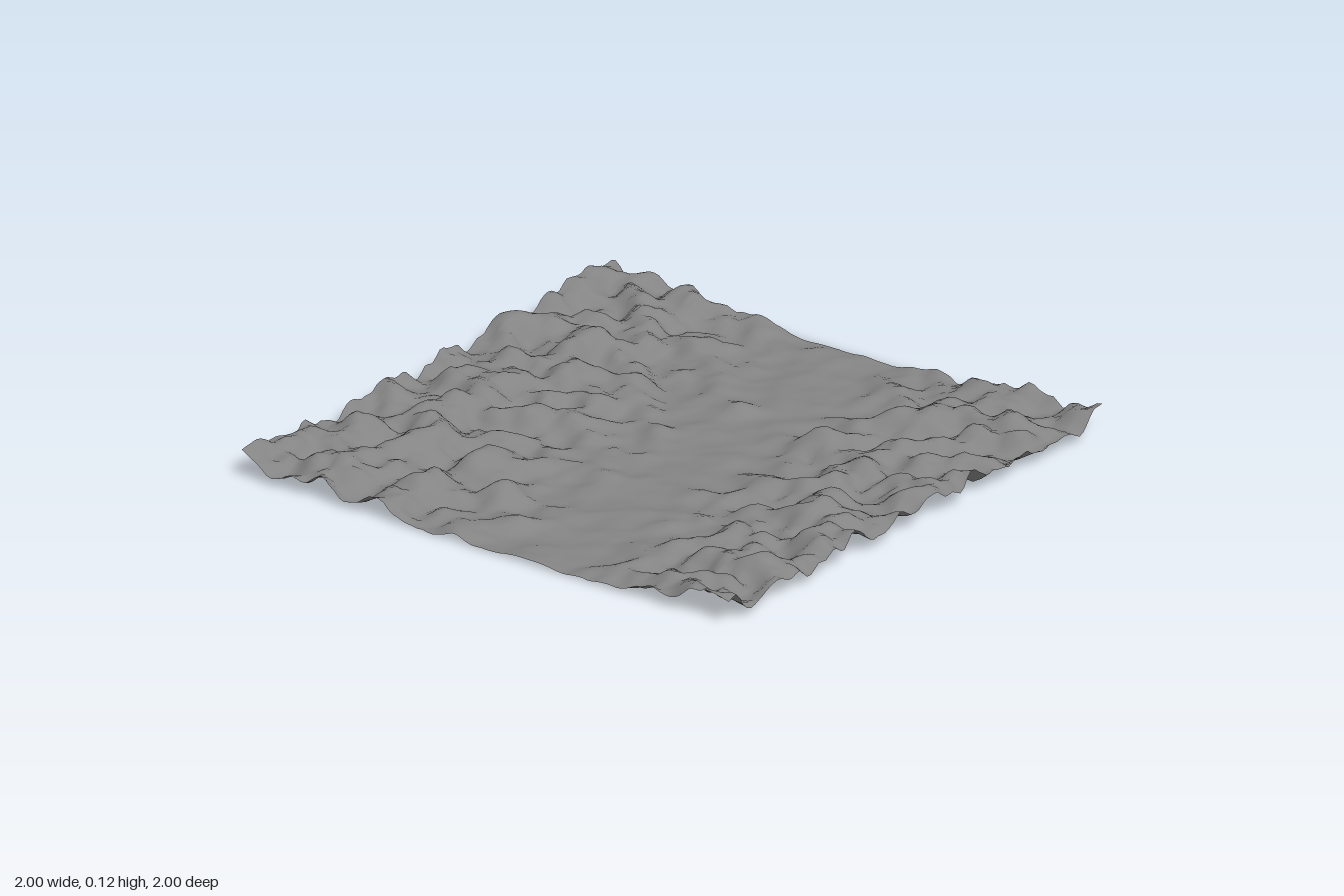
import * as THREE from 'three';

const { lerp, smoothstep } = THREE.MathUtils;

// Lone hummocks in and beside the valley: x, z, height, radius
const HUMMOCKS = [
  [-0.19, 0.62, 0.035, 0.06], [-0.2, -0.5, 0.03, 0.06], [-0.02, -0.4, 0.025, 0.05],
  [-0.02, 0.78, 0.03, 0.05], [0.36, -0.33, 0.05, 0.06], [0.3, -0.82, 0.02, 0.05],
  [-0.4, -0.25, 0.025, 0.08], [-0.2, 0.15, 0.025, 0.07], [0.44, -0.62, 0.03, 0.06],
  [-0.05, 0.3, 0.015, 0.06], [-0.1, -0.12, 0.02, 0.06],
];

// Repeatable lattice value in [-1, 1]
function lattice(i, j, seed) {
  let h = Math.imul(i, 374761393) + Math.imul(j, 668265263) + Math.imul(seed, 974634777);
  h = Math.imul(h ^ (h >>> 13), 1274126177);
  return ((h ^ (h >>> 16)) >>> 0) / 2147483648 - 1;
}

// Smooth gradient noise, about [-1, 1]
function noise(x, z, seed) {
  const i = Math.floor(x), j = Math.floor(z);
  const u = x - i, v = z - j;
  const fade = (t) => t * t * t * (t * (t * 6 - 15) + 10);
  const corner = (a, b) => {
    const angle = lattice(i + a, j + b, seed) * Math.PI;
    return Math.cos(angle) * (u - a) + Math.sin(angle) * (v - b);
  };
  const near = lerp(corner(0, 0), corner(1, 0), fade(u));
  const far = lerp(corner(0, 1), corner(1, 1), fade(u));
  return 1.5 * lerp(near, far, fade(v));
}

// Rough banks beside a smooth valley that drifts towards +x at the front
function terrainHeight(x, z) {
  const offset = x - 0.09 - 0.09 * z + 0.05 * noise(0.5, z * 3, 5);
  const bank = offset > 0 ? smoothstep(offset, 0.12, 0.75) : smoothstep(-offset, 0.2, 0.9);
  const rough = offset > 0 ? smoothstep(offset, 0.05, 0.6) : smoothstep(-offset, 0, 0.7);

  // Ridges run slightly along the x = -z diagonal
  const along = (x - z) * 0.66, across = (x + z) * 0.74;
  const relief = 0.8 * noise(along * 6.5, across * 6.5, 1)
    + 0.5 * noise(x * 11, z * 11, 2)
    + 0.14 * noise(x * 22, z * 22, 3);

  let h = 0.011 + 0.06 * bank + (0.012 + 0.055 * rough) * Math.tanh(1.15 * relief);
  for (const [hx, hz, height, radius] of HUMMOCKS) {
    h += height * Math.exp(-((x - hx) ** 2 + (z - hz) ** 2) / (radius * radius));
  }
  // Soft floor keeps the valley bed nearly flat
  return 0.5 * (h + Math.sqrt(h * h + 0.0002));
}

export function createModel() {
  const group = new THREE.Group();
  group.name = 'terrain';

  const geometry = new THREE.PlaneGeometry(2, 2, 100, 100);
  geometry.rotateX(-Math.PI / 2);
  const position = geometry.attributes.position;
  for (let i = 0; i < position.count; i++) {
    position.setY(i, terrainHeight(position.getX(i), position.getZ(i)));
  }

  // Rest the lowest point on the ground
  geometry.computeBoundingBox();
  geometry.translate(0, -geometry.boundingBox.min.y, 0);
  geometry.computeVertexNormals();

  const ground = new THREE.Mesh(
    geometry,
    new THREE.MeshStandardMaterial({ color: 0x848484, side: THREE.DoubleSide })
  );
  ground.name = 'groundSurface';
  group.add(ground);
  return group;
}
